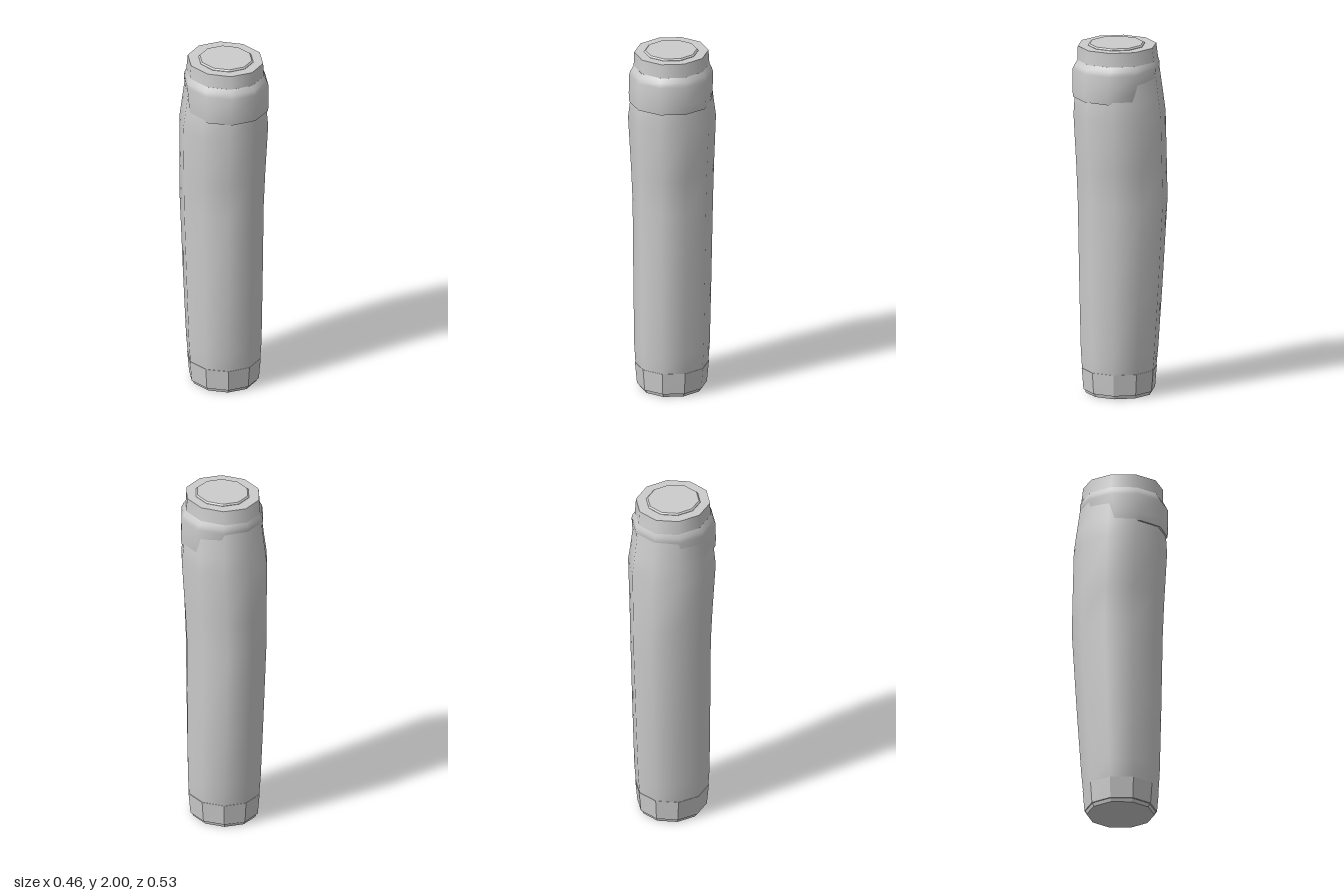
import * as THREE from 'three';

const SIDES = 10;
const metal = new THREE.MeshStandardMaterial({ color: 0xcccccc });
metal.name = 'plain grey';

// Lofts decagon rings [y, half width, front z, back z], with closed ends
function loft(name, rings, faceted = false) {
  const pos = [], index = [];
  const addRing = ([y, hx, zf, zb]) => {
    const start = pos.length / 3;
    const rx = hx / Math.cos(Math.PI / SIDES);
    for (let i = 0; i < SIDES; i++) {
      const a = (i / SIDES) * Math.PI * 2;
      pos.push(rx * Math.sin(a), y, (zf + zb) / 2 + ((zf - zb) / 2) * Math.cos(a));
    }
    return start;
  };
  const starts = rings.map(addRing);
  for (let r = 0; r < rings.length - 1; r++) {
    for (let i = 0; i < SIDES; i++) {
      const j = (i + 1) % SIDES;
      const a = starts[r] + i, b = starts[r] + j;
      const c = starts[r + 1] + i, d = starts[r + 1] + j;
      index.push(a, b, d, a, d, c);
    }
  }
  // end caps have their own corners so their edges stay sharp
  const bottom = addRing(rings[0]);
  const top = addRing(rings[rings.length - 1]);
  for (let i = 1; i < SIDES - 1; i++) {
    index.push(bottom, bottom + i + 1, bottom + i);
    index.push(top, top + i, top + i + 1);
  }
  let geometry = new THREE.BufferGeometry();
  geometry.setAttribute('position', new THREE.Float32BufferAttribute(pos, 3));
  geometry.setIndex(index);
  if (faceted) geometry = geometry.toNonIndexed();
  geometry.computeVertexNormals();
  const mesh = new THREE.Mesh(geometry, metal);
  mesh.name = name;
  return mesh;
}

export function createModel() {
  const model = new THREE.Group();
  model.name = 'handle';

  // grip, swelling at the back and then at the front
  model.add(loft('grip', [
    [0.14, 0.192, 0.214, -0.204],
    [0.25, 0.199, 0.221, -0.214],
    [0.6, 0.204, 0.229, -0.237],
    [1.1, 0.210, 0.238, -0.266],
    [1.3, 0.217, 0.246, -0.262],
    [1.6, 0.231, 0.262, -0.255],
    [1.7, 0.219, 0.256, -0.242],
    [1.9, 0.199, 0.241, -0.214],
    [1.99, 0.195, 0.238, -0.203],
  ]));

  // rounded band near the top, fullest at the front
  model.add(loft('band', [
    [1.70, 0.217, 0.265, -0.19],
    [1.75, 0.221, 0.268, -0.2],
    [1.86, 0.221, 0.268, -0.222],
    [1.885, 0.213, 0.256, -0.221],
    [1.91, 0.199, 0.241, -0.212],
  ]));

  // bevelled disc on the top end
  model.add(loft('topDisc', [
    [1.985, 0.143, 0.18, -0.138],
    [1.992, 0.143, 0.18, -0.138],
    [2.0, 0.135, 0.172, -0.13],
  ], true));

  // faceted collar and foot disc
  model.add(loft('bottomCollar', [
    [0.02, 0.184, 0.206, -0.196],
    [0.142, 0.195, 0.216, -0.206],
  ], true));
  model.add(loft('footDisc', [
    [0, 0.17, 0.192, -0.184],
    [0.022, 0.176, 0.199, -0.191],
  ], true));

  return model;
}
